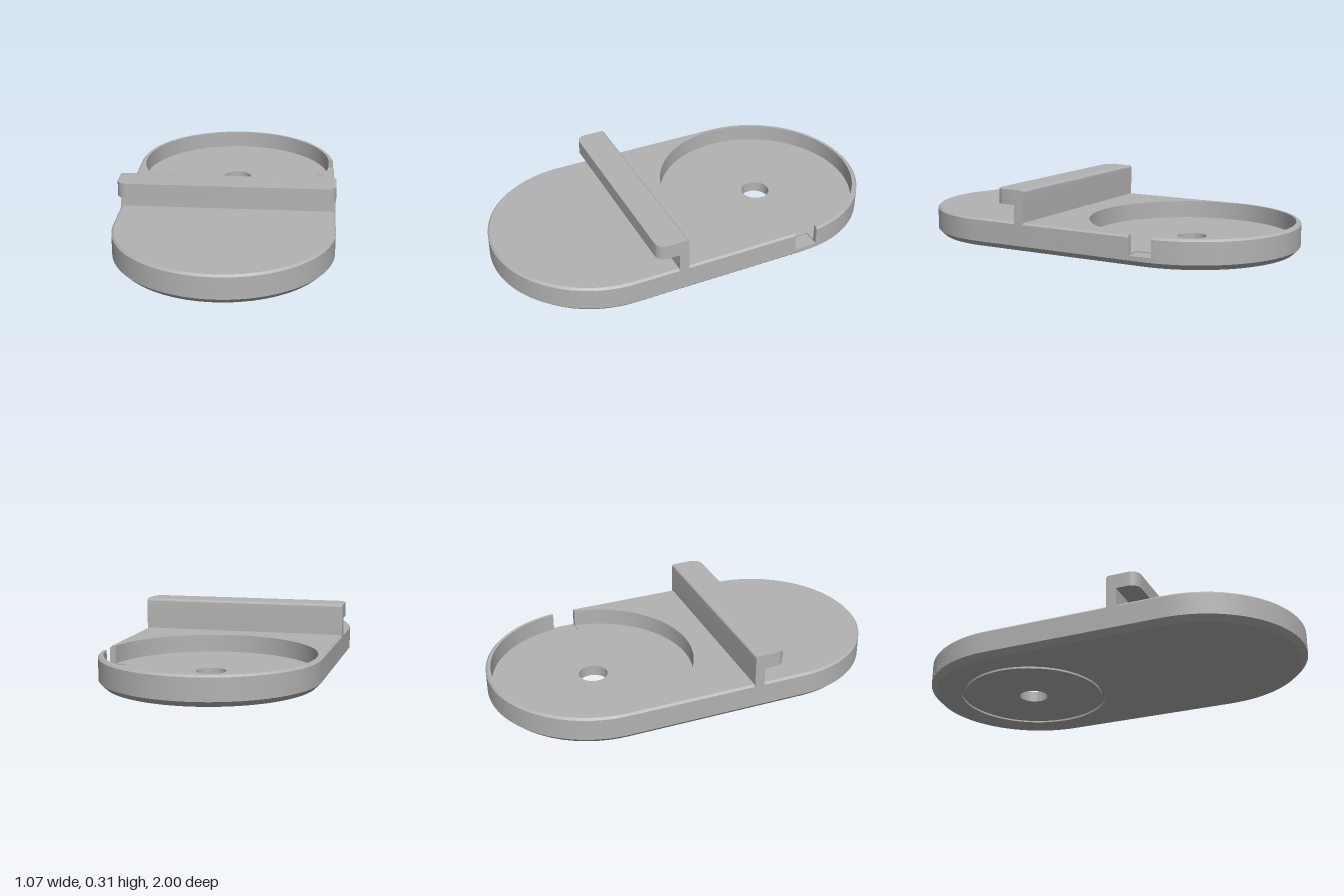
import * as THREE from 'three';
import { toCreasedNormals } from 'three/addons/utils/BufferGeometryUtils.js';

const R = 0.537, C = 0.463;            // end radius and end centre of the stadium base
const TOP = 0.145, LEDGE = 0.05, FLOOR = 0.056;
const POCKET = 0.512, HOLE = 0.073;
const NOTCH = [-0.52, -0.4];           // z range of the cable notch on the +x side
const CREASE = 0.5;

// Points [x, z] on an arc about (0, cz)
function arc(r, cz, from, to, n = 48) {
  return Array.from({ length: n + 1 }, (_, i) => {
    const a = from + (to - from) * i / n;
    return [r * Math.cos(a), cz + r * Math.sin(a)];
  });
}

const stadium = (inset) => [
  ...arc(R - inset, C, 0, Math.PI),
  ...arc(R - inset, -C, Math.PI, 2 * Math.PI),
];

// Raised wall around the pocket: one contour, open at the notch
function rim(inset) {
  const r = R - inset;
  const angle = (z, rad) => Math.asin((z + C) / rad);
  return [
    [r, NOTCH[1]],
    ...arc(r, C, 0, Math.PI),
    ...arc(r, -C, Math.PI, 2 * Math.PI + angle(NOTCH[0], r)),
    ...arc(POCKET, -C, 2 * Math.PI + angle(NOTCH[0], POCKET), angle(NOTCH[1], POCKET), 96),
  ];
}

// Skin through matching closed contours, given as [y, contour]
function loft(levels) {
  const pos = [];
  for (let k = 0; k + 1 < levels.length; k++) {
    const [y0, p] = levels[k], [y1, q] = levels[k + 1];
    p.forEach((a, i) => {
      const j = (i + 1) % p.length, b = p[j], d = q[i], c = q[j];
      pos.push(a[0], y0, a[1], d[0], y1, d[1], c[0], y1, c[1]);
      pos.push(a[0], y0, a[1], c[0], y1, c[1], b[0], y0, b[1]);
    });
  }
  const g = new THREE.BufferGeometry();
  g.setAttribute('position', new THREE.Float32BufferAttribute(pos, 3));
  return toCreasedNormals(g, CREASE);
}

// Shape in the ground plane; sign -1 for faces looking up, 1 for looking down
function planShape(points, sign, holeRadius) {
  const shape = new THREE.Shape(points.map(([x, z]) => new THREE.Vector2(x, sign * z)));
  if (holeRadius) {
    shape.holes.push(new THREE.Path().absarc(0, -sign * C, holeRadius, 0, Math.PI * 2, true));
  }
  return shape;
}

export function createModel() {
  const group = new THREE.Group();
  const grey = new THREE.MeshStandardMaterial({ color: 0xb3b3b3 });
  grey.name = 'grey';

  function add(name, geometry, y = 0, z = 0) {
    const mesh = new THREE.Mesh(geometry, grey);
    mesh.name = name;
    mesh.position.set(0, y, z);
    group.add(mesh);
  }

  // Base slab with chamfered lower edge
  add('baseSide', loft([[0, stadium(0.027)], [0.027, stadium(0)], [LEDGE, stadium(0)]]));
  add('baseUnderside', new THREE.ShapeGeometry(planShape(stadium(0.027), 1, 0.38), 64).rotateX(Math.PI / 2));
  add('notchLedge', new THREE.ShapeGeometry(planShape(stadium(0), -1, HOLE), 64).rotateX(-Math.PI / 2), LEDGE);

  // Underside ring groove and centre hole
  const groove = [[HOLE, FLOOR], [HOLE, 0], [0.36, 0], [0.36, 0.01], [0.38, 0.01], [0.38, 0]];
  add('grooveAndHole', toCreasedNormals(
    new THREE.LatheGeometry(groove.map(([r, y]) => new THREE.Vector2(r, y)), 96), CREASE), 0, -C);

  // Pocket floor, cut back at the notch
  const a0 = Math.asin((NOTCH[1] + C) / POCKET), a1 = Math.asin((NOTCH[0] + C) / POCKET);
  const floor = [...arc(POCKET, -C, a0, 2 * Math.PI + a1, 96), [0.45, NOTCH[0]], [0.45, NOTCH[1]]];
  add('pocketFloor', toCreasedNormals(new THREE.ExtrudeGeometry(planShape(floor, -1, HOLE),
    { depth: FLOOR - LEDGE, bevelEnabled: false, curveSegments: 48 }).rotateX(-Math.PI / 2), CREASE), LEDGE);

  // Upper body around the pocket, with a slim top chamfer
  add('upperBodySide', loft([[LEDGE, rim(0)], [TOP - 0.01, rim(0)], [TOP, rim(0.01)]]));
  add('upperBodyTop', new THREE.ShapeGeometry(planShape(rim(0.01), -1)).rotateX(-Math.PI / 2), TOP);

  // Upright of the support bar, softened along its top back edge
  const f = 0.012, H = 0.305;
  const upright = new THREE.Shape();
  upright.moveTo(-0.24, 0.13);
  upright.lineTo(-0.19, 0.13);
  upright.lineTo(-0.19, H - f);
  upright.absarc(-0.19 - f, H - f, f, 0, Math.PI / 2, false);
  upright.lineTo(-0.24, H);
  add('barUpright', toCreasedNormals(new THREE.ExtrudeGeometry(upright,
    { depth: 2 * R, bevelEnabled: false, curveSegments: 6 })
    .rotateY(Math.PI / 2).translate(-R, 0, 0), CREASE));

  // Overhanging lip with rounded front corners
  const c = 0.05, front = 0.35;
  const lip = new THREE.Shape();
  lip.moveTo(R, -0.24);
  lip.lineTo(-R, -0.24);
  lip.lineTo(-R, -front + c);
  lip.absarc(-R + c, -front + c, c, Math.PI, Math.PI * 1.5, false);
  lip.absarc(R - c, -front + c, c, Math.PI * 1.5, Math.PI * 2, false);
  add('barLip', toCreasedNormals(new THREE.ExtrudeGeometry(lip,
    { depth: H - 0.23, bevelEnabled: false, curveSegments: 12 }).rotateX(-Math.PI / 2), CREASE), 0.23);

  return group;
}
